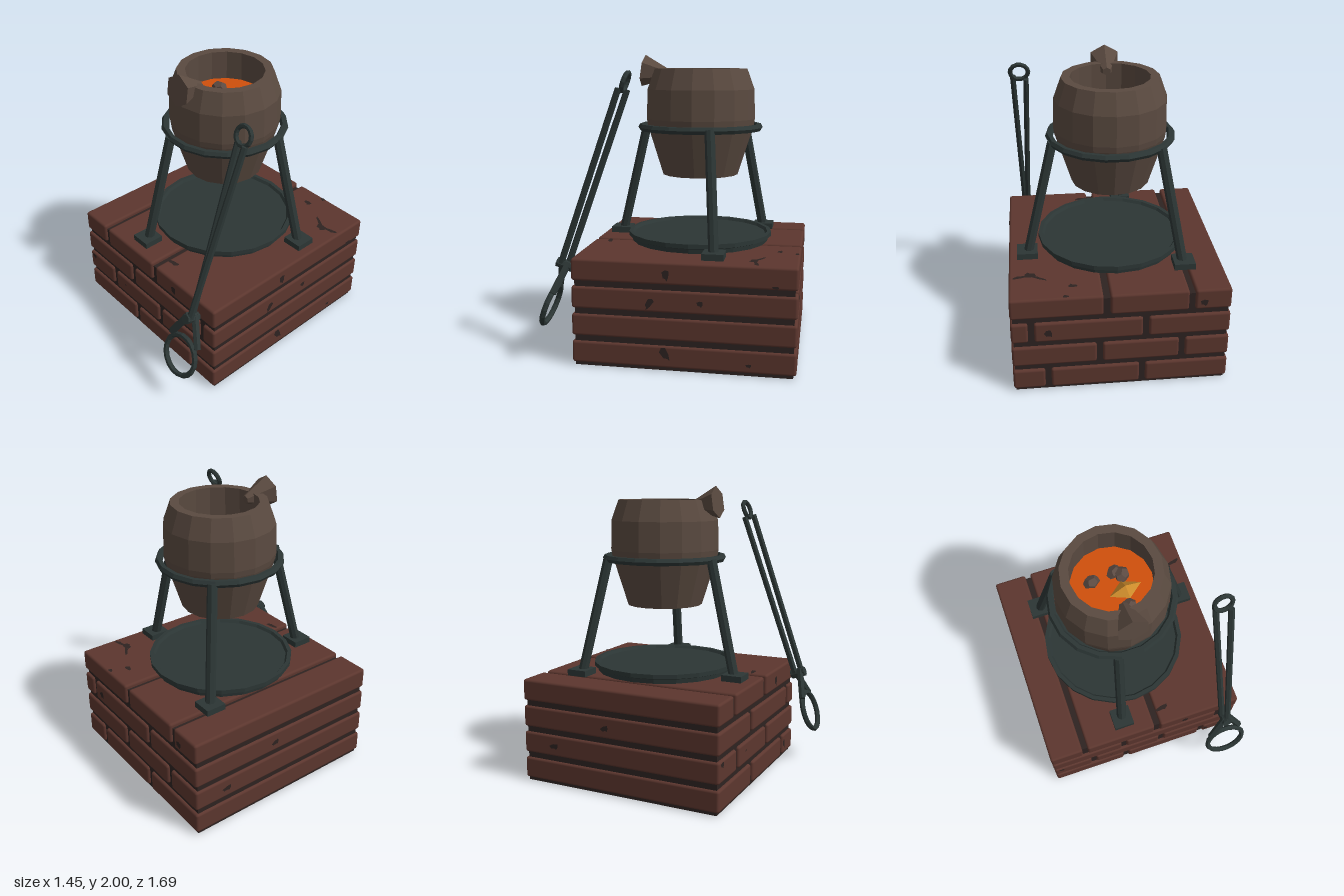
import * as THREE from 'three';
import { RoundedBoxGeometry } from 'three/addons/geometries/RoundedBoxGeometry.js';

const mat = (name, color, extra = {}) => {
  const m = new THREE.MeshStandardMaterial({ color, ...extra });
  m.name = name;
  return m;
};

export function createModel() {
  const flat = { flatShading: true };
  const brick = mat('brick red', 0x5c362e);
  const mortar = mat('dark mortar', 0x2e2321);
  const clay = mat('fired clay', 0x5a4a40, flat);
  const iron = mat('dark iron', 0x2c3635, flat);
  const molten = mat('molten orange', 0xcf4f0c);
  const stone = mat('ore stone', 0x5b4a42, flat);
  const gold = mat('gold ore', 0xcb8a2b, flat);

  const model = new THREE.Group();
  model.name = 'crucibleOnBricks';
  const add = (name, geo, material, pos = [0, 0, 0], parent = model) => {
    const mesh = new THREE.Mesh(geo, material);
    mesh.name = name;
    mesh.position.set(...pos);
    parent.add(mesh);
    return mesh;
  };
  const lathe = (pts, n) =>
    new THREE.LatheGeometry(pts.map(p => new THREE.Vector2(...p)), n);
  // Rod from point a to point b
  const rod = (name, a, b, ra, rb, sides, parent) => {
    const va = new THREE.Vector3(...a), vb = new THREE.Vector3(...b);
    const dir = vb.clone().sub(va);
    const mesh = add(name, new THREE.CylinderGeometry(rb, ra, dir.length(), sides), iron,
      va.clone().add(vb).multiplyScalar(0.5).toArray(), parent);
    mesh.quaternion.setFromUnitVectors(new THREE.Vector3(0, 1, 0), dir.normalize());
    return mesh;
  };

  // Brick plinth: four courses of full-depth bricks round a mortar core
  const base = new THREE.Group();
  base.name = 'brickBase';
  model.add(base);
  add('mortarCore', new THREE.BoxGeometry(1.39, 0.685, 1.41), mortar, [-0.02, 0.3425, -0.115], base);
  const courses = [[-0.18, -0.14, 0.44, 0.48], [-0.44, -0.40, 0.10, 0.14],
    [-0.20, -0.16, 0.54, 0.58], [-0.495, -0.455, 0.05, 0.095]];
  courses.forEach((gaps, row) => {
    const ends = [-0.73, ...gaps, 0.69];
    for (let i = 0; i < 6; i += 2) {
      const w = ends[i + 1] - ends[i];
      add('brick', new RoundedBoxGeometry(w, 0.145, 1.45, 2, 0.017), brick,
        [ends[i] + w / 2, 0.093 + row * 0.183, -0.115], base);
    }
  });

  // Dark chips in the brick faces: [face, position, width, height, turn]
  const turns = { front: [0, 0, 0], back: [0, Math.PI, 0], left: [0, Math.PI / 2, 0],
    right: [0, -Math.PI / 2, 0], top: [-Math.PI / 2, 0, 0] };
  const outline = [[-0.5, 0.3], [-0.35, -0.2], [0.05, -0.3], [0.2, -0.5], [0.45, -0.1], [0.5, 0.4], [0, 0.5]]
    .map(p => new THREE.Vector2(...p));
  const chips = [
    ['front', [0.285, 0.63, 0.612], 0.045, 0.07, 0], ['front', [-0.68, 0.32, 0.612], 0.05, 0.04, 0],
    ['front', [0.5, 0.095, 0.612], 0.035, 0.07, 0.2], ['front', [-0.285, 0.29, 0.612], 0.03, 0.008, 0.3],
    ['left', [0.692, 0.63, -0.01], 0.045, 0.075, 0], ['left', [0.692, 0.44, 0.1], 0.04, 0.09, -0.6],
    ['left', [0.692, 0.455, -0.23], 0.04, 0.04, 0], ['left', [0.692, 0.11, -0.005], 0.05, 0.1, 0.5],
    ['left', [0.692, 0.07, -0.54], 0.035, 0.025, 0], ['left', [0.692, 0.585, -0.7], 0.045, 0.02, 0],
    ['right', [-0.732, 0.27, -0.6], 0.07, 0.04, 0.2], ['right', [-0.732, 0.45, -0.2], 0.06, 0.04, 0.4],
    ['back', [-0.55, 0.62, -0.842], 0.05, 0.05, 0], ['back', [0.45, 0.45, -0.842], 0.05, 0.06, 0.4],
    ['top', [0.28, 0.717, -0.7], 0.06, 0.04, 0], ['top', [0.33, 0.717, -0.815], 0.04, 0.03, 0],
    ['top', [0.55, 0.717, -0.55], 0.08, 0.06, 0], ['top', [0.49, 0.717, -0.595], 0.11, 0.025, -0.5],
    ['top', [0.61, 0.717, -0.57], 0.12, 0.03, 0.25], ['top', [0.14, 0.717, 0.495], 0.1, 0.035, 0.2],
  ];
  for (const [face, pos, w, h, turn] of chips) {
    const geo = new THREE.ShapeGeometry(new THREE.Shape(outline)).scale(w, h, 1).rotateZ(turn);
    add('brickChip', geo, mortar, pos, base).rotation.set(...turns[face]);
  }

  // Everything round the pot shares one axis
  const furnace = new THREE.Group();
  furnace.name = 'furnace';
  furnace.position.set(-0.02, 0, -0.12);
  model.add(furnace);

  add('dripTray', lathe([[0, 0.72], [0.475, 0.72], [0.48, 0.75], [0.502, 0.758], [0.502, 0.787],
    [0.475, 0.787], [0.462, 0.768], [0, 0.768]], 20), iron, [0, 0, 0], furnace);

  add('pot', lathe([[0, 1.185], [0.262, 1.185], [0.37, 1.53], [0.376, 1.57], [0.371, 1.77],
    [0.32, 1.91], [0.262, 1.91], [0.268, 1.67]], 16), clay, [0, 0, 0], furnace);
  add('moltenMetal', new THREE.CircleGeometry(0.268, 16).rotateX(-Math.PI / 2), molten, [0, 1.71, 0], furnace);

  // Tapered six-sided pouring spout
  const spout = add('spout', new THREE.CylinderGeometry(0.108, 0.028, 0.19, 6), clay,
    [0, 1.882, 0.307], furnace);
  spout.rotation.x = Math.PI / 2 - 0.14;

  // Ore floating in the melt
  const lump = (name, material, pos, size, turn) => {
    const m = add(name, new THREE.DodecahedronGeometry(1), material, pos, furnace);
    m.scale.set(...size);
    m.rotation.y = turn;
  };
  lump('oreLump', stone, [-0.115, 1.715, -0.055], [0.056, 0.045, 0.045], 0.2);
  lump('oreLump', stone, [0.04, 1.715, -0.075], [0.054, 0.05, 0.045], 0.5);
  lump('oreLump', stone, [0.08, 1.73, -0.04], [0.055, 0.04, 0.05], 1.1);
  lump('oreLump', stone, [0.055, 1.715, 0.175], [0.057, 0.045, 0.05], 0.8);
  const nugget = add('goldNugget', new THREE.OctahedronGeometry(1), gold, [0.07, 1.715, 0.06], furnace);
  nugget.scale.set(0.11, 0.06, 0.065);
  nugget.rotation.y = 0.15;

  // Tripod stand
  add('supportRing', new THREE.TorusGeometry(0.405, 0.026, 6, 18).rotateX(Math.PI / 2), iron, [0, 1.512, 0], furnace);
  for (let i = 0; i < 3; i++) {
    const leg = new THREE.Group();
    leg.name = 'standLeg';
    leg.rotation.y = -0.225 + i * Math.PI * 2 / 3;
    furnace.add(leg);
    rod('legRod', [0, 0.75, 0.6], [0, 1.515, 0.408], 0.034, 0.034, 8, leg);
    add('foot', new THREE.BoxGeometry(0.14, 0.042, 0.14), iron, [0, 0.745, 0.61], leg)
      .rotation.y = -leg.rotation.y;
  }

  // Tongs leaning on the plinth, modelled upright round their pivot
  const tongs = new THREE.Group();
  tongs.name = 'tongs';
  tongs.position.set(0.563, 0.64, 0.69);
  tongs.rotation.x = -0.343;
  model.add(tongs);
  add('pivotPin', new THREE.CylinderGeometry(0.034, 0.034, 0.105, 8).rotateX(Math.PI / 2), iron, [0, 0, 0], tongs);
  for (const s of [-1, 1]) {
    rod('handle', [s * 0.012, -0.01, s * 0.022], [s * 0.045, 1.215, s * 0.018], 0.022, 0.021, 6, tongs);
    rod('jaw', [-s * 0.005, 0.02, s * 0.022], [-s * 0.115, -0.175, s * 0.012], 0.026, 0.024, 6, tongs);
  }
  add('gripRing', new THREE.TorusGeometry(0.061, 0.016, 6, 14), iron, [0, 1.263, 0], tongs);
  add('jawRing', new THREE.TorusGeometry(0.138, 0.019, 6, 18), iron, [0, -0.292, 0], tongs);

  return model;
}
